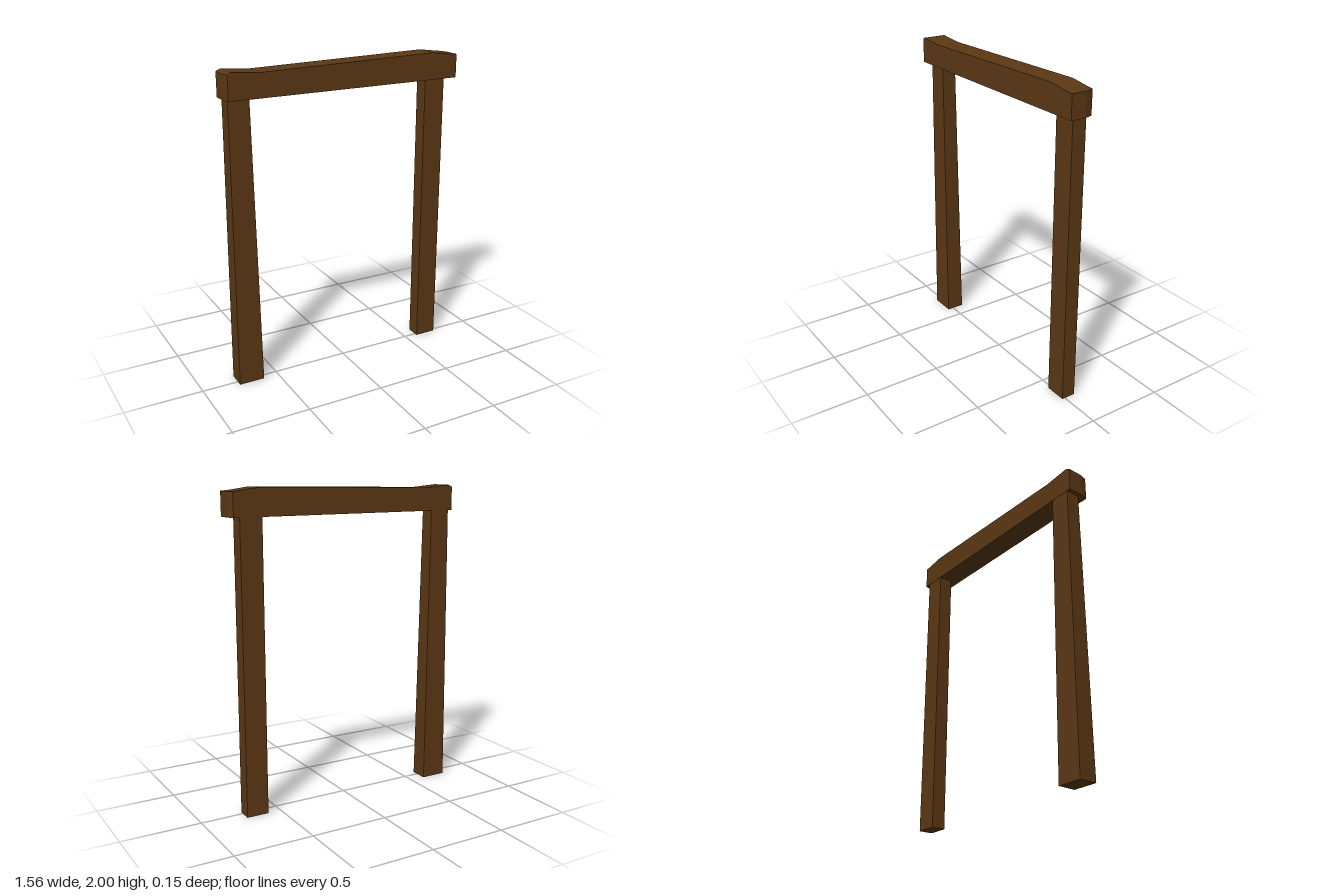
import * as THREE from 'three';

const wood = new THREE.MeshStandardMaterial({ color: 0x5c3814, flatShading: true });

// Box-like post whose bottom and top rectangles [x0, x1, z0, z1] differ
function taperedPost(name, bottom, top, height) {
  const geo = new THREE.BoxGeometry(1, 1, 1);
  const p = geo.attributes.position;
  for (let i = 0; i < p.count; i++) {
    const r = p.getY(i) > 0 ? top : bottom;
    p.setXYZ(i, p.getX(i) < 0 ? r[0] : r[1], p.getY(i) > 0 ? height : 0, p.getZ(i) < 0 ? r[2] : r[3]);
  }
  geo.computeVertexNormals();
  const mesh = new THREE.Mesh(geo, wood);
  mesh.name = name;
  return mesh;
}

// Lintel: uneven hewn top profile, extruded in depth, with slightly skewed ends
function crossBeam() {
  const profile = [
    [-0.78, 1.83], [0.78, 1.83], [0.78, 1.978], [0.73, 1.982],
    [0.6, 2], [-0.58, 1.978], [-0.75, 1.993], [-0.78, 1.98],
  ].map(([x, y]) => new THREE.Vector2(x, y));
  const geo = new THREE.ExtrudeGeometry(new THREE.Shape(profile), { depth: 0.15, steps: 3, bevelEnabled: false });
  geo.translate(0, 0, -0.075);
  const p = geo.attributes.position;
  for (let i = 0; i < p.count; i++) {
    const x = p.getX(i), z = p.getZ(i);
    if (x < -0.77 && z > 0.05) p.setX(i, -0.768);
    if (x > 0.77 && z < -0.05) p.setX(i, 0.766);
  }
  geo.computeVertexNormals();
  const mesh = new THREE.Mesh(geo, wood);
  mesh.name = 'crossBeam';
  return mesh;
}

export function createModel() {
  const group = new THREE.Group();
  group.name = 'doorFrame';
  group.add(
    taperedPost('rightPost', [-0.765, -0.6, -0.077, 0.04], [-0.753, -0.62, -0.073, 0.02], 1.84),
    taperedPost('leftPost', [0.585, 0.727, -0.073, 0.02], [0.585, 0.727, -0.073, 0.02], 1.84),
    crossBeam(),
  );
  return group;
}
